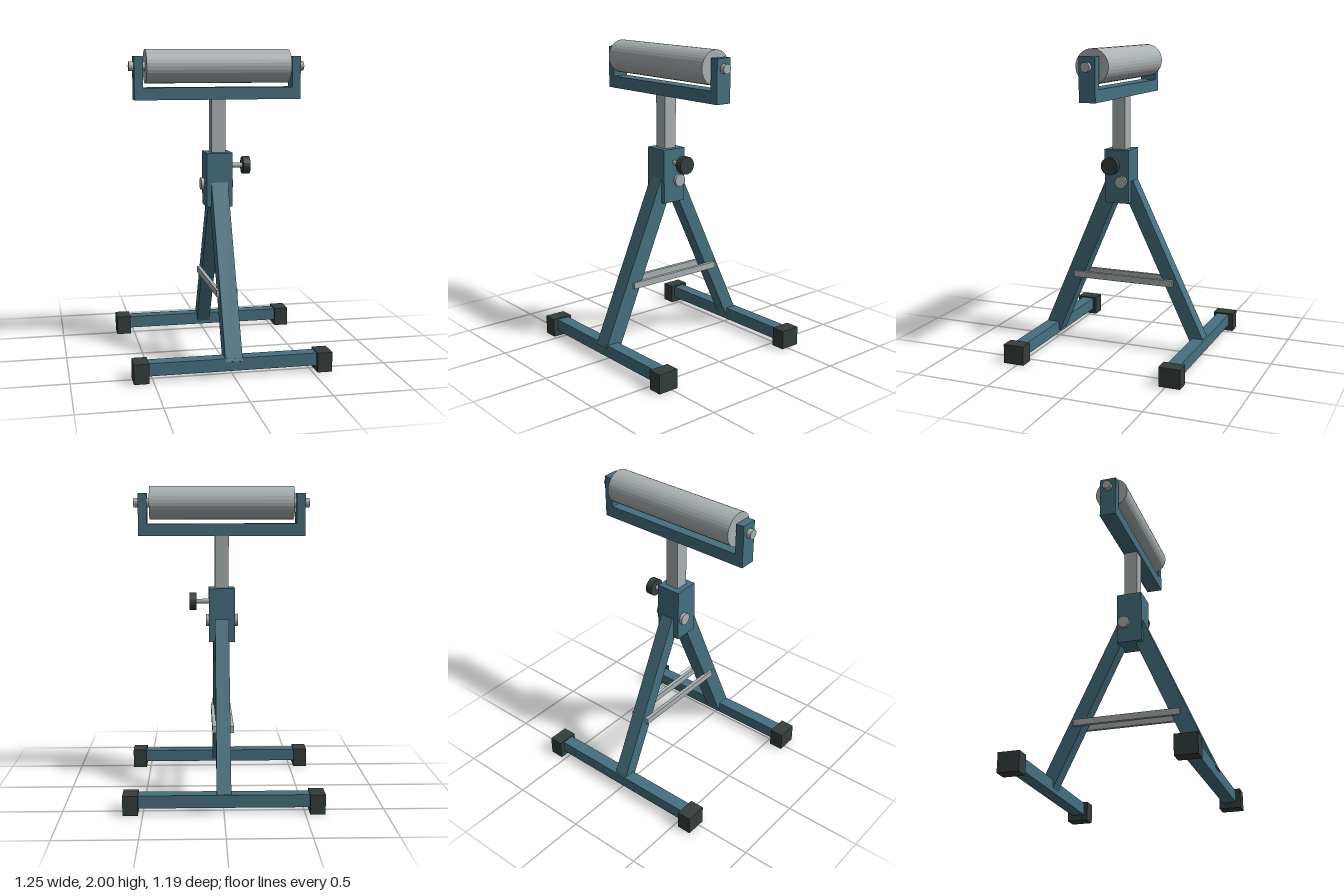
import * as THREE from 'three';

export function createModel() {
  const model = new THREE.Group();
  model.name = 'rollerStand';
  const material = (name, color) => {
    const m = new THREE.MeshStandardMaterial({ color });
    m.name = name;
    return m;
  };
  const paint = material('tealPaint', 0x467080);
  const steel = material('steel', 0xaab2b3);
  const rubber = material('darkRubber', 0x353e3d);

  const add = (name, geometry, mat, x, y, z) => {
    const mesh = new THREE.Mesh(geometry, mat);
    mesh.name = name;
    mesh.position.set(x, y, z);
    model.add(mesh);
    return mesh;
  };
  const box = (name, mat, w, h, d, x, y, z) =>
    add(name, new THREE.BoxGeometry(w, h, d), mat, x, y, z);
  // Faceted round bar lying along x
  const rod = (name, mat, r, x0, x1, y, z, sides = 20) => {
    const g = new THREE.CylinderGeometry(r, r, x1 - x0, sides).toNonIndexed();
    g.computeVertexNormals();
    g.rotateZ(Math.PI / 2);
    return add(name, g, mat, (x0 + x1) / 2, y, z);
  };
  // Square tube between two (y, z) points
  const leg = (name, size, y0, z0, y1, z1) => {
    const mesh = box(name, paint, size, Math.hypot(y1 - y0, z1 - z0), size,
      0, (y0 + y1) / 2, (z0 + z1) / 2);
    mesh.rotation.x = Math.atan2(z1 - z0, y1 - y0);
  };

  const axisZ = 0.034; // column centre line
  const rollerY = 1.892;

  // Roller, axle and U-shaped yoke
  rod('roller', steel, 0.108, -0.467, 0.467, rollerY, axisZ, 32);
  rod('axle', steel, 0.03, -0.571, 0.571, rollerY, axisZ, 16);
  box('yokeBase', paint, 1.082, 0.078, 0.107, 0, 1.719, axisZ);
  for (const s of [-1, 1]) {
    box('yokeArm', paint, 0.056, 0.275, 0.107, s * 0.513, 1.8175, axisZ);
  }

  // Sliding post inside its sleeve
  box('post', steel, 0.09, 0.64, 0.088, 0, 1.37, axisZ);
  box('sleeve', paint, 0.168, 0.35, 0.168, 0, 1.165, axisZ);

  // Clamp knob and leg pivot
  rod('knobShaft', steel, 0.016, 0.07, 0.17, 1.25, axisZ, 12);
  rod('knob', rubber, 0.057, 0.165, 0.211, 1.25, axisZ, 20);
  rod('pivotBolt', steel, 0.04, -0.105, 0.105, 1.13, 0, 20);

  // Splayed legs
  leg('frontLeg', 0.108, 0.077, 0.523, 1.17, 0.05);
  leg('backLeg', 0.09, 0.077, -0.523, 1.12, -0.022);

  // Floor bars with rubber feet, side braces
  for (const s of [-1, 1]) {
    box('floorBar', paint, 1.08, 0.08, 0.084, 0, 0.077, s * 0.523);
    for (const x of [-0.576, 0.576]) {
      box('foot', rubber, 0.094, 0.125, 0.138, x, 0.0625, s * 0.527);
    }
    box('sideBrace', steel, 0.024, 0.042, 0.702, s * 0.056, 0.476, 0.004);
  }
  return model;
}
